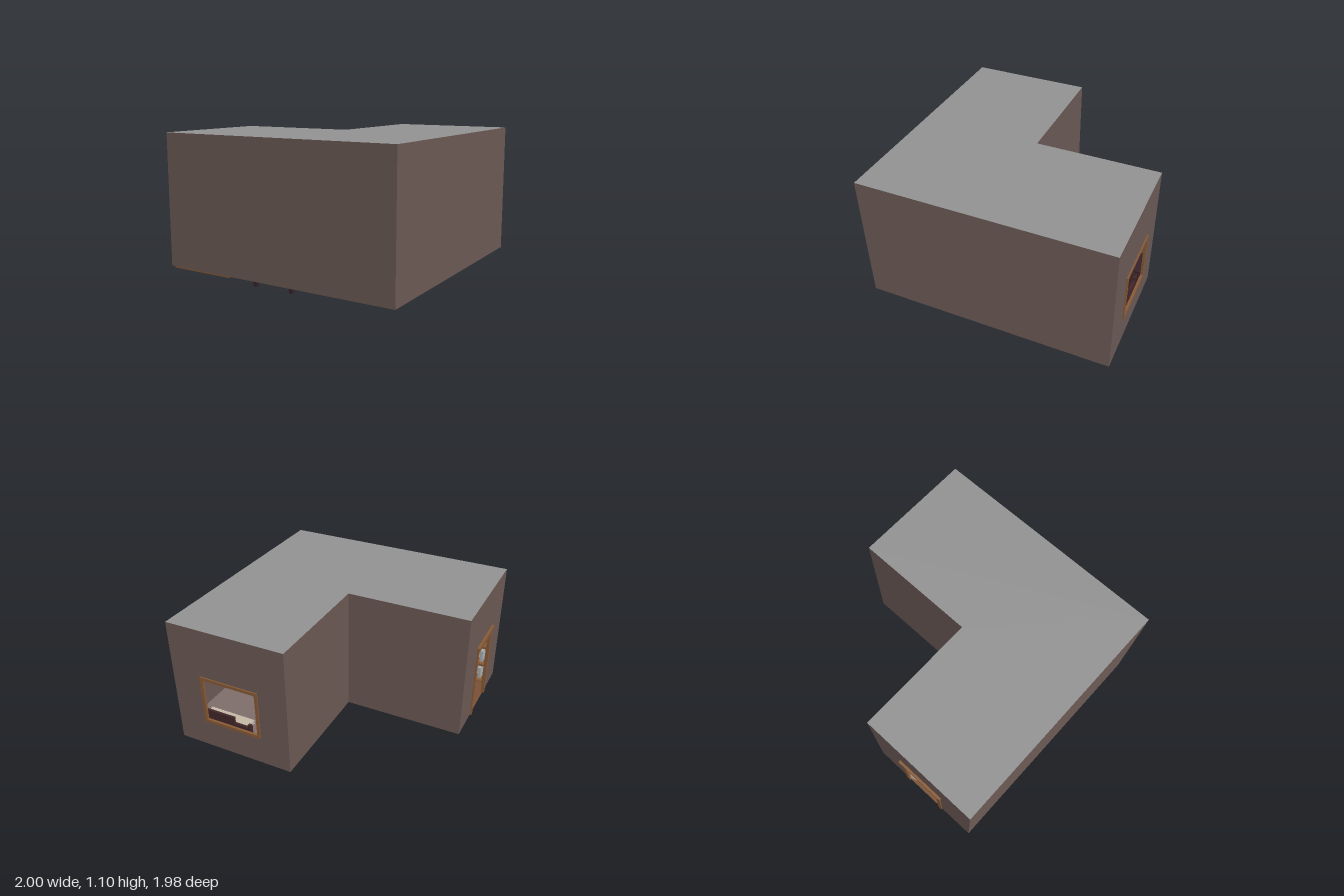
import * as THREE from 'three';

const mat = (name, color, side = THREE.FrontSide) => {
  const m = new THREE.MeshStandardMaterial({ color, side });
  m.name = name;
  return m;
};

export function createModel() {
  const room = new THREE.Group();
  room.name = 'lShapedRoom';
  const wallMat = mat('wall taupe', 0x6e5c57, THREE.DoubleSide);
  const ceilingMat = mat('ceiling grey', 0x949494, THREE.DoubleSide);
  const floorMat = mat('floor brown', 0x7a5236, THREE.DoubleSide);
  const trim = mat('trim wood', 0x8a5c38);
  const darkWood = mat('dark wood', 0x44282a);
  const blackWood = mat('black wood', 0x35222a);
  const cream = mat('cream paint', 0xc8bba8);
  const cloth = mat('blanket mauve', 0x806e6c);
  const paper = mat('book grey', 0xa8b0b4);

  const FLOOR = 0.055, TOP = 1.1, H = TOP - FLOOR;
  const W = -0.98, E = 1, N = -0.985, S = 0.985, CX = 0.01, CZ = 0;

  const add = (parent, name, geo, material) => {
    const m = new THREE.Mesh(geo, material);
    m.name = name;
    parent.add(m);
    return m;
  };
  // Box given by its lower and upper corner
  const box = (parent, name, material, [x0, y0, z0], [x1, y1, z1]) => {
    const m = add(parent, name, new THREE.BoxGeometry(x1 - x0, y1 - y0, z1 - z0), material);
    m.position.set((x0 + x1) / 2, (y0 + y1) / 2, (z0 + z1) / 2);
    return m;
  };
  const group = (name) => {
    const g = new THREE.Group();
    g.name = name;
    room.add(g);
    return g;
  };
  const outline = (pts) => new THREE.Shape(pts.map(([x, y]) => new THREE.Vector2(x, y)));
  const rect = (x0, y0, x1, y1) => outline([[x0, y0], [x1, y0], [x1, y1], [x0, y1]]);

  // Floor and ceiling share the L plan
  const plan = outline([[W, -S], [E, -S], [E, -N], [CX, -N], [CX, -CZ], [W, -CZ]]);
  for (const [name, y, m] of [['floor', FLOOR, floorMat], ['ceiling', TOP, ceilingMat]]) {
    const slab = add(room, name, new THREE.ShapeGeometry(plan).rotateX(-Math.PI / 2), m);
    slab.position.y = y;
  }

  // Plain walls
  const wall = (name, width, x, z, turn) => {
    const m = add(room, name, new THREE.PlaneGeometry(width, H), wallMat);
    m.position.set(x, (FLOOR + TOP) / 2, z);
    m.rotation.y = turn;
  };
  wall('frontWall', E - W, (E + W) / 2, S, 0);
  wall('sideWall', S - N, E, 0, Math.PI / 2);
  wall('innerBackWall', CX - W, (CX + W) / 2, CZ, Math.PI);
  wall('innerSideWall', CZ - N, CX, (CZ + N) / 2, -Math.PI / 2);

  // Back wall with the window opening
  const backShape = rect(CX, FLOOR, E, TOP);
  backShape.holes.push(rect(0.27, 0.31, 0.73, 0.68));
  add(room, 'windowWall', new THREE.ShapeGeometry(backShape), wallMat).position.z = N;

  // Wall with the doorway
  const doorShape = outline([[CZ, FLOOR], [0.31, FLOOR], [0.31, 0.67], [0.67, 0.67],
    [0.67, FLOOR], [S, FLOOR], [S, TOP], [CZ, TOP]]);
  const doorWall = add(room, 'doorWall', new THREE.ShapeGeometry(doorShape), wallMat);
  doorWall.position.x = W;
  doorWall.rotation.y = -Math.PI / 2;

  // Window frame
  const win = group('windowFrame');
  const z0 = -0.995, z1 = -0.975;
  box(win, 'windowSill', trim, [0.25, 0.29, z0], [0.75, 0.315, z1]);
  box(win, 'windowHead', trim, [0.25, 0.675, z0], [0.75, 0.7, z1]);
  for (const x of [0.25, 0.725]) box(win, 'windowJamb', trim, [x, 0.315, z0], [x + 0.025, 0.675, z1]);

  // Door frame and leaf standing ajar
  const frame = group('doorFrame');
  for (const z of [0.295, 0.655]) box(frame, 'doorJamb', trim, [-0.99, 0.048, z], [-0.965, 0.675, z + 0.035]);
  box(frame, 'doorHead', trim, [-0.99, 0.645, 0.295], [-0.965, 0.675, 0.69]);
  box(frame, 'doorCornice', trim, [-1, 0.675, 0.28], [-0.965, 0.712, 0.7]);
  const door = group('door');
  door.position.set(-0.975, FLOOR, 0.325);
  door.rotation.y = 0.32;
  box(door, 'doorLeaf', cream, [0, 0.005, 0], [0.018, 0.59, 0.33]);

  // Bookcase with leaning books
  const shelf = group('bookcase');
  const bx0 = -0.95, bx1 = -0.4, bz0 = 0.8, bz1 = 0.98, bTop = 0.78;
  for (const x of [bx0, bx1 - 0.02]) box(shelf, 'bookcaseSide', trim, [x, 0.043, bz0], [x + 0.02, bTop, bz1]);
  box(shelf, 'bookcaseBack', trim, [bx0, 0.043, bz1 - 0.01], [bx1, bTop, bz1]);
  for (const y of [0.043, 0.22, 0.4, 0.58, bTop - 0.02]) {
    box(shelf, 'bookcaseShelf', trim, [bx0, y, bz0], [bx1, y + 0.02, bz1]);
  }
  for (const y of [0.065, 0.24, 0.42, 0.6]) {
    for (let i = 0; i < 10; i++) {
      const x = bx0 + 0.045 + i * 0.047;
      const h = 0.11 + 0.012 * (i % 3);
      const book = box(shelf, 'book', i % 4 === 3 ? darkWood : paper,
        [x, y + 0.004, bz0 + 0.03], [x + 0.025, y + h, bz1 - 0.02]);
      book.rotation.z = i % 5 === 2 ? -0.18 : -0.06;
    }
  }

  // Table
  const table = group('table');
  box(table, 'tableTop', darkWood, [-0.22, 0.33, 0.4], [0.18, 0.36, 0.95]);
  for (const x of [-0.185, 0.14]) {
    for (const z of [0.43, 0.92]) {
      box(table, 'tableLeg', blackWood, [x - 0.014, 0, z - 0.014], [x + 0.014, 0.33, z + 0.014]);
    }
  }

  // Bed
  const bed = group('bed');
  for (const x of [0.36, 0.965]) {
    for (const [z, h] of [[-0.955, 0.36], [-0.1, 0.24]]) {
      box(bed, 'bedPost', darkWood, [x - 0.014, 0.05, z - 0.012], [x + 0.014, h, z + 0.012]);
    }
  }
  box(bed, 'bedFrame', darkWood, [0.36, 0.1, -0.95], [0.965, 0.14, -0.105]);
  box(bed, 'headboard', darkWood, [0.37, 0.12, -0.962], [0.955, 0.33, -0.942]);
  box(bed, 'headboardCrest', darkWood, [0.5, 0.33, -0.962], [0.82, 0.38, -0.942]);
  box(bed, 'footboard', darkWood, [0.37, 0.12, -0.11], [0.955, 0.2, -0.092]);
  box(bed, 'mattress', cloth, [0.37, 0.14, -0.94], [0.955, 0.2, -0.112]);
  box(bed, 'pillow', cream, [0.46, 0.2, -0.92], [0.86, 0.235, -0.76]);

  // Low dresser beside the bed
  const dresser = group('dresser');
  box(dresser, 'dresserBody', blackWood, [0.02, 0.05, -0.98], [0.24, 0.3, -0.44]);
  for (const z of [-0.96, -0.7]) {
    for (const y of [0.08, 0.19]) {
      box(dresser, 'drawerFront', darkWood, [0.24, y, z], [0.247, y + 0.09, z + 0.24]);
    }
  }
  return room;
}
